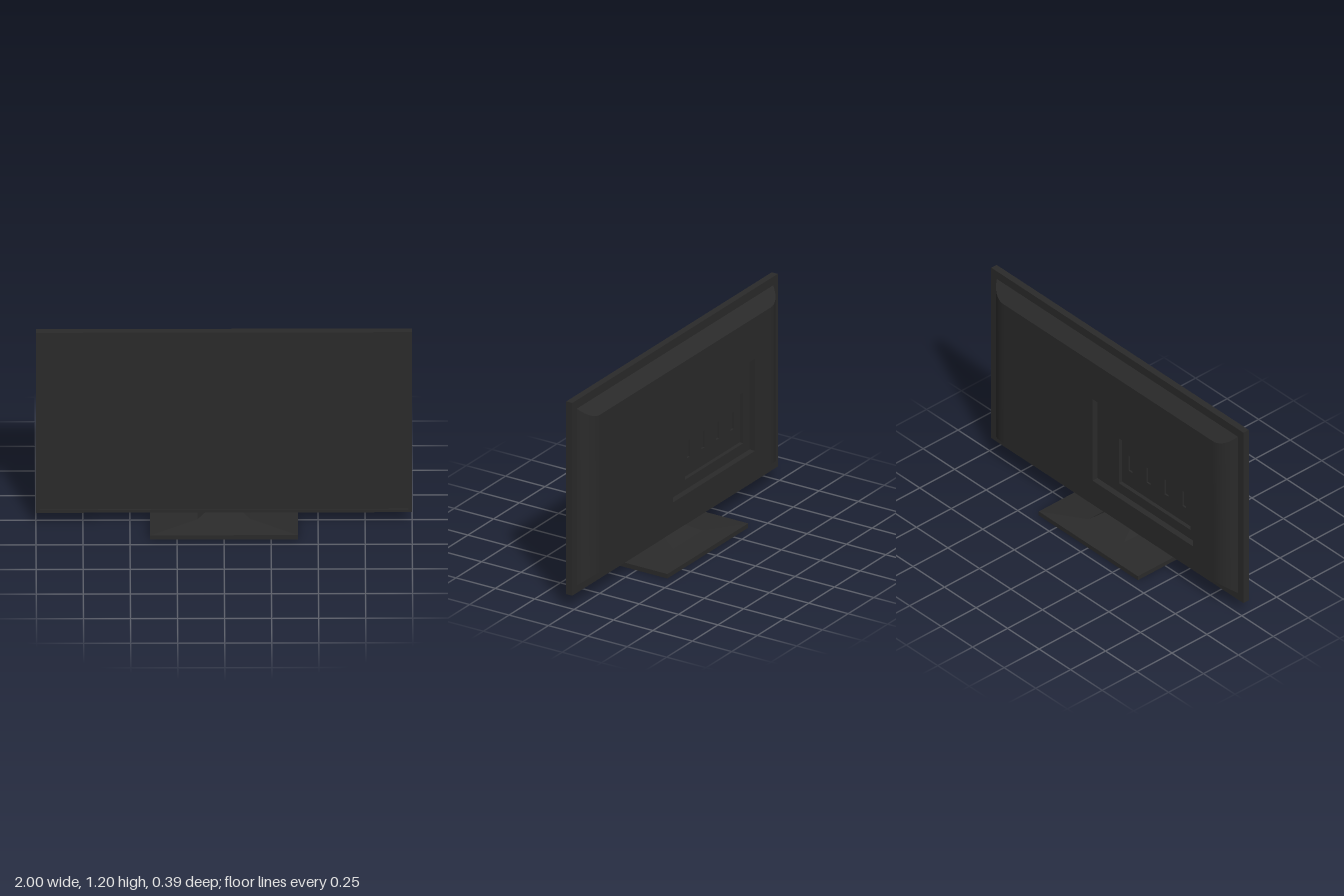
import * as THREE from 'three';
import { toCreasedNormals } from 'three/addons/utils/BufferGeometryUtils.js';

const dark = new THREE.MeshStandardMaterial({ color: 0x2a2a2a });

// Rectangle given as [x0, x1, y0, y1]
const rectPoints = ([x0, x1, y0, y1]) => [[x1, y0], [x1, y1], [x0, y1], [x0, y0]];

// Skin between rectangles [x0, x1, y0, y1, z] listed in order of rising z
function loft(rings, capped) {
  const pos = [];
  const quad = (a, b, c, d) => pos.push(...a, ...b, ...c, ...a, ...c, ...d);
  const loops = rings.map(r => rectPoints(r).map(([x, y]) => [x, y, r[4]]));
  for (let k = 0; k < loops.length - 1; k++) {
    for (let i = 0; i < 4; i++) {
      const j = (i + 1) % 4;
      quad(loops[k][i], loops[k][j], loops[k + 1][j], loops[k + 1][i]);
    }
  }
  if (capped) {
    quad(...[...loops[0]].reverse());
    quad(...loops[loops.length - 1]);
  }
  const geo = new THREE.BufferGeometry();
  geo.setAttribute('position', new THREE.Float32BufferAttribute(pos, 3));
  geo.computeVertexNormals();
  return geo;
}

// Flat plate from z0 to z1 with rectangular openings
function plate(outer, holes, z0, z1) {
  const toVectors = r => rectPoints(r).map(p => new THREE.Vector2(...p));
  const shape = new THREE.Shape(toVectors(outer));
  holes.forEach(h => shape.holes.push(new THREE.Path(toVectors(h).reverse())));
  return new THREE.ExtrudeGeometry(shape, { depth: z1 - z0, bevelEnabled: false }).translate(0, 0, z0);
}

export function createModel() {
  const model = new THREE.Group();
  const add = (name, geo) => {
    const mesh = new THREE.Mesh(geo, dark);
    mesh.name = name;
    model.add(mesh);
    return mesh;
  };

  // Display: slim frame around a slightly sunken screen
  const bottom = 0.077, top = 1.2, back = 0.012, front = 0.05;
  const outer = [-1, 1, bottom, top];
  const opening = [-0.98, 0.98, bottom + 0.018, top - 0.018];
  add('bezel', plate(outer, [opening], back, front));
  add('screen', plate(opening, [], back, front - 0.006));

  // Rear housing: rounded ends, straight slopes above and below
  const rear = -0.055, depth = back - rear;
  const sweep = 0.98, radius = depth / (1 - Math.cos(sweep));
  const rings = [];
  for (let i = 0; i <= 10; i++) {
    const a = sweep * i / 10;
    const drop = radius * (1 - Math.cos(a)), t = drop / depth;
    const x = 0.83 + radius * Math.sin(a);
    rings.push([-x, x, 0.17 - 0.05 * t, 1.085 + 0.065 * t, rear + drop]);
  }
  add('rearHousing', toCreasedNormals(loft(rings, false), 0.5));

  // Stepped connector bay, each plate opening onto the next
  const bay = [-0.676, 0.123, 0.307, 0.844];
  const innerBay = [-0.615, -0.048, 0.366, 0.661];
  const slots = [-0.115, -0.258, -0.4, -0.542].map(x => [x - 0.015, x + 0.015, 0.466, 0.565]);
  add('rearPanel', plate(rings[0].slice(0, 4), [bay], rear, -0.02));
  add('connectorBay', plate(bay, [innerBay], -0.02, 0.002));
  add('connectorSlots', plate(innerBay, slots, 0.002, back));

  // Stand: flat foot rising in two slopes to the neck (plane y is -z before turning)
  const stand = add('stand', loft([
    [-0.393, 0.393, -0.198, 0.196, 0],
    [-0.393, 0.393, -0.198, 0.196, 0.026],
    [-0.14, 0.14, -0.071, 0.068, 0.049],
    [-0.1, 0.1, -0.05, -0.012, 0.078],
  ], true));
  stand.rotation.x = -Math.PI / 2;

  return model;
}
